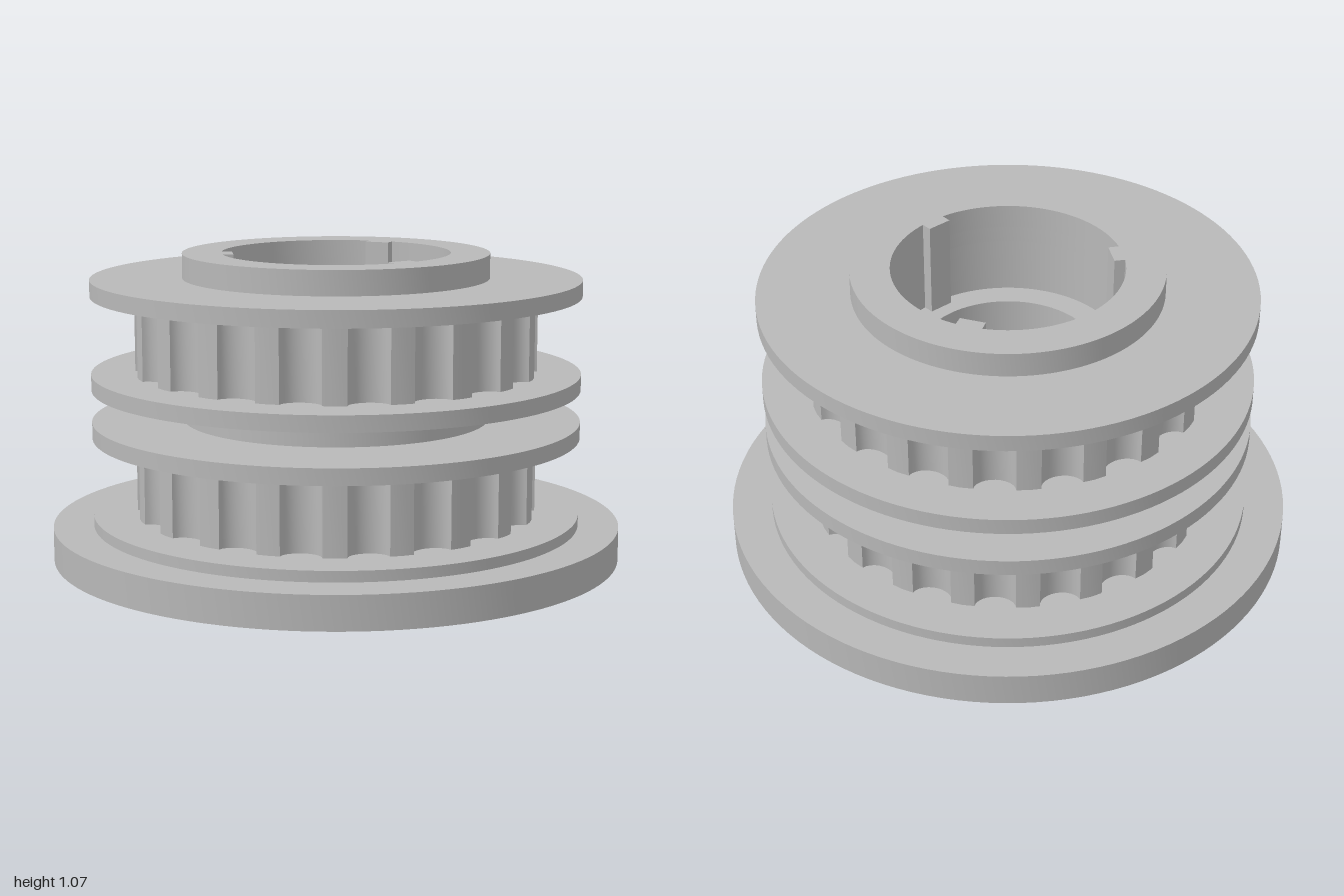
import * as THREE from 'three';
import { toCreasedNormals } from 'three/addons/utils/BufferGeometryUtils.js';

const DEG = Math.PI / 180;
const BORE = 0.4;
const LOWER_KEYS = 75, UPPER_KEYS = 0; // angle of the first key, from +z towards +x

// Point on the plan at radius r and angle in degrees from +z towards +x
const polar = (r, deg) => new THREE.Vector2(r * Math.sin(deg * DEG), -r * Math.cos(deg * DEG));

function circle(r, n = 120) {
  return Array.from({ length: n }, (_, i) => polar(r, (i * 360) / n));
}

// Bore outline with three square keys standing inwards
function keyedBore(start) {
  const pts = [];
  for (let k = 0; k < 3; k++) {
    const a = start + k * 120;
    pts.push(polar(0.363, a - 7.1), polar(0.363, a + 7.1));
    for (let i = 0; i <= 36; i++) pts.push(polar(BORE, a + 6.5 + (107 * i) / 36));
  }
  return pts;
}

// Twenty flat-topped teeth with round gullies between them
function toothOutline() {
  const pts = [];
  const land = 3.3, half = 9 - land, steps = 12;
  for (let t = 0; t < 20; t++) {
    const a = t * 18;
    pts.push(polar(0.705, a - land), polar(0.707, a));
    for (let i = 0; i < steps; i++) {
      const u = (i / steps) * Math.PI;
      pts.push(polar(0.705 - 0.055 * Math.sin(u), a + 9 - half * Math.cos(u)));
    }
  }
  return pts;
}

export function createModel() {
  const model = new THREE.Group();
  const grey = new THREE.MeshStandardMaterial({ color: 0xb8b8b8 });
  grey.name = 'plain grey';

  // Upright slab of a plan outline between two heights
  function slab(name, outline, holes, y0, y1) {
    const shape = new THREE.Shape(outline);
    holes.forEach((h) => shape.holes.push(new THREE.Path(h)));
    const extruded = new THREE.ExtrudeGeometry(shape, { depth: y1 - y0, bevelEnabled: false });
    extruded.rotateX(-Math.PI / 2);
    extruded.translate(0, y0, 0);
    const mesh = new THREE.Mesh(toCreasedNormals(extruded, 0.5), grey);
    mesh.name = name;
    model.add(mesh);
  }

  const lower = keyedBore(LOWER_KEYS);
  const upper = keyedBore(UPPER_KEYS);

  // Base disc with three blind holes in its underside
  const boltHoles = [45, 165, 285].map((a) => {
    const c = polar(0.62, a);
    return circle(0.105, 40).map((p) => p.add(c));
  });
  slab('baseDisc', circle(1), [lower, ...boltHoles], 0, 0.118);

  // Lower toothed wheel between its flanges
  slab('lowerWheelBottomFlange', circle(0.858), [lower], 0.118, 0.156);
  slab('lowerTeeth', toothOutline(), [lower], 0.156, 0.43);
  slab('lowerWheelTopFlange', circle(0.858), [circle(BORE)], 0.43, 0.487);

  // Spacer hub
  slab('middleHub', circle(0.537), [circle(BORE)], 0.487, 0.6);

  // Upper toothed wheel between its flanges
  slab('upperWheelBottomFlange', circle(0.858), [circle(BORE)], 0.6, 0.656);
  slab('upperTeeth', toothOutline(), [upper], 0.656, 0.928);
  slab('upperWheelTopFlange', circle(0.858), [upper], 0.928, 0.986);
  slab('topHub', circle(0.537), [upper], 0.986, 1.072);

  // Narrow collar inside the bore
  slab('boreCollar', circle(0.41), [circle(0.308)], 0.3, 0.73);

  return model;
}
